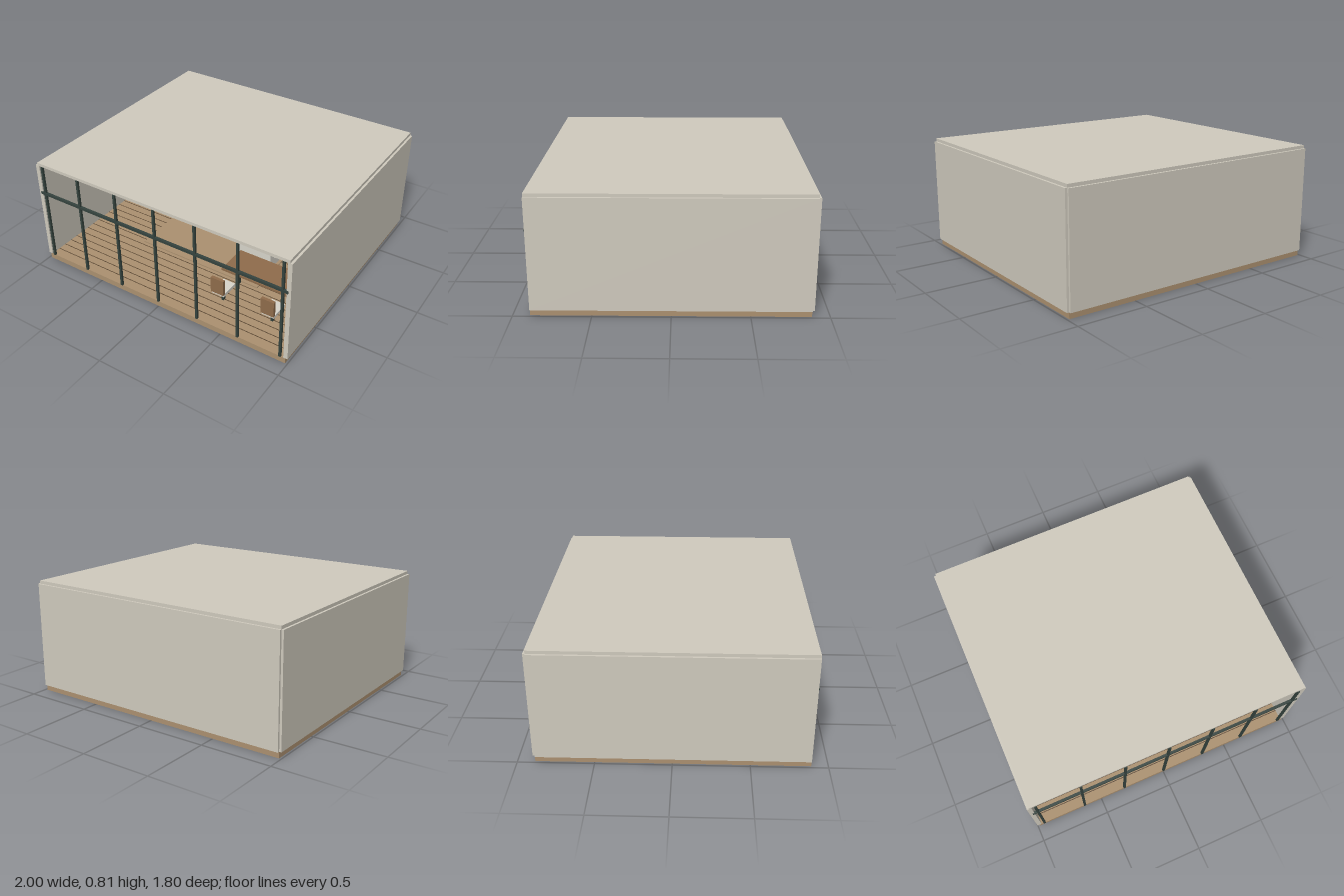
import * as THREE from 'three';

const mat = (name, color) => {
  const m = new THREE.MeshStandardMaterial({ color });
  m.name = name;
  return m;
};

export function createModel() {
  const wall = mat('plaster', 0xd0cbbe);
  const oak = mat('oak', 0xac9170);
  const walnut = mat('walnut', 0x8f6c4b);
  const dark = mat('dark metal', 0x35433e);
  const fabric = mat('pale fabric', 0xd8d5cb);
  const green = mat('leaf green', 0x506c4d);
  const groove = mat('floor groove', 0x5e4a35);

  const model = new THREE.Group();
  model.name = 'pavilion';
  const group = (name) => {
    const g = new THREE.Group();
    g.name = name;
    model.add(g);
    return g;
  };
  // Box given by its extents along each axis
  const box = (parent, name, m, [x0, x1], [y0, y1], [z0, z1]) => {
    const mesh = new THREE.Mesh(new THREE.BoxGeometry(x1 - x0, y1 - y0, z1 - z0), m);
    mesh.position.set((x0 + x1) / 2, (y0 + y1) / 2, (z0 + z1) / 2);
    mesh.name = name;
    parent.add(mesh);
    return mesh;
  };

  // Shell: floor, three walls and roof, open at the front
  const shell = group('shell');
  box(shell, 'floor', oak, [-0.985, 0.985], [0, 0.042], [-0.885, 0.89]);
  box(shell, 'roof', wall, [-0.985, 0.985], [0.79, 0.812], [-0.885, 0.89]);
  box(shell, 'backWall', wall, [-0.985, 0.985], [0.042, 0.79], [-0.9, -0.87]);
  box(shell, 'rightWall', wall, [-1, -0.97], [0.042, 0.79], [-0.885, 0.89]);
  box(shell, 'leftWall', wall, [0.97, 1], [0.042, 0.79], [-0.885, 0.89]);

  // Plank joints along the floor
  const joints = group('plankJoints');
  for (let i = 1; i < 28; i++) {
    const z = -0.87 + i * 0.0625;
    box(joints, 'plankJoint', groove, [-0.97, 0.97], [0.041, 0.043], [z - 0.003, z + 0.003]);
  }

  // Front window frame
  const frame = group('windowFrame');
  for (let i = -3; i <= 3; i++) {
    const x = i * 0.315;
    box(frame, 'mullion', dark, [x - 0.008, x + 0.008], [0.042, 0.79], [0.88, 0.896]);
  }
  box(frame, 'transom', dark, [-0.982, 0.982], [0.565, 0.583], [0.879, 0.897]);

  // Framed pictures on the back wall
  const pictures = group('pictures');
  for (const x of [-0.594, -0.398, -0.2]) {
    box(pictures, 'pictureFrame', walnut, [x - 0.069, x + 0.069], [0.328, 0.545], [-0.87, -0.85]);
    box(pictures, 'pictureCanvas', oak, [x - 0.053, x + 0.053], [0.344, 0.529], [-0.851, -0.846]);
  }

  // Media wall
  const media = group('mediaWall');
  box(media, 'screen', dark, [0.097, 0.488], [0.242, 0.432], [-0.87, -0.845]);
  box(media, 'cabinet', walnut, [0, 0.59], [0.042, 0.197], [-0.87, -0.72]);

  box(model, 'rug', oak, [-0.49, 0.49], [0.042, 0.051], [-0.5, 0.415]);

  // Coffee table with a book
  const coffee = group('coffeeTable');
  box(coffee, 'coffeeTop', walnut, [-0.112, 0.185], [0.132, 0.153], [-0.24, 0.12]);
  box(coffee, 'coffeeBase', dark, [-0.04, 0.113], [0.051, 0.132], [-0.15, 0.03]);
  box(coffee, 'book', fabric, [0, 0.07], [0.153, 0.168], [-0.11, -0.01]);

  // Sofa with its back towards the coffee table
  const sofa = group('sofa');
  box(sofa, 'sofaBase', fabric, [0.222, 0.48], [0.07, 0.14], [-0.33, 0.23]);
  box(sofa, 'sofaBack', fabric, [0.216, 0.268], [0.1, 0.262], [-0.33, 0.23]);
  for (const z of [-0.33, 0.18])
    box(sofa, 'sofaArm', fabric, [0.24, 0.485], [0.1, 0.23], [z, z + 0.05]);
  for (const z of [-0.275, -0.047])
    box(sofa, 'seatCushion', fabric, [0.27, 0.475], [0.14, 0.17], [z, z + 0.222]);
  for (const x of [0.24, 0.44])
    for (const z of [-0.31, 0.19])
      box(sofa, 'sofaFoot', dark, [x, x + 0.02], [0.042, 0.07], [z, z + 0.02]);

  // Dining table
  const dining = group('diningTable');
  box(dining, 'tableTop', walnut, [0.29, 0.8], [0.208, 0.224], [0.31, 0.55]);
  for (const x of [0.355, 0.745])
    box(dining, 'tableLeg', dark, [x - 0.009, x + 0.009], [0.042, 0.208], [0.42, 0.44]);

  // Dining chairs
  for (const x of [0.358, 0.743]) {
    const chair = group('diningChair');
    box(chair, 'chairSeat', fabric, [x - 0.048, x + 0.048], [0.128, 0.148], [0.56, 0.7]);
    box(chair, 'chairBack', walnut, [x - 0.049, x + 0.049], [0.148, 0.267], [0.69, 0.712]);
    box(chair, 'chairLeg', dark, [x - 0.008, x + 0.008], [0.042, 0.128], [0.62, 0.645]);
  }

  // Indoor tree
  const tree = group('tree');
  const trunk = new THREE.Mesh(new THREE.CylinderGeometry(0.014, 0.018, 0.2, 10), walnut);
  trunk.name = 'trunk';
  trunk.position.set(0.785, 0.142, -0.6);
  const crown = new THREE.Mesh(new THREE.SphereGeometry(0.155, 14, 10), green);
  crown.name = 'crown';
  crown.scale.y = 1.39;
  crown.position.set(0.785, 0.4, -0.6);
  tree.add(trunk, crown);

  return model;
}
